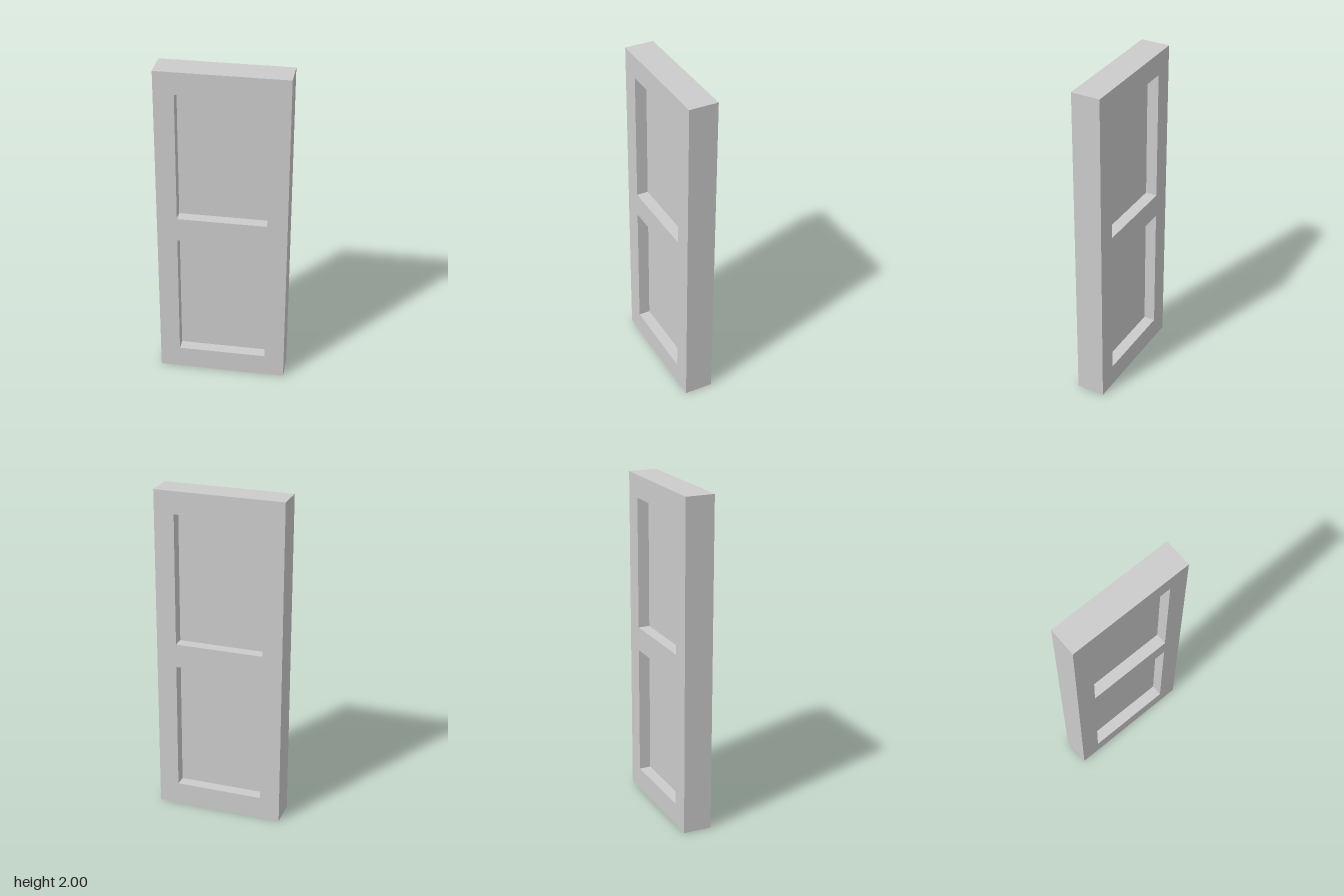
import * as THREE from 'three';

const WIDTH = 0.769, HEIGHT = 2, DEPTH = 0.173;
const HALF_OPENING = 0.265; // half width of each opening
const RECESS = 0.07; // depth of the panels below each face
const OPENINGS = [[0.137, 0.928], [1.073, 1.866]]; // bottom and top of each opening

function rectangle(path, x, y0, y1) {
  path.moveTo(-x, y0);
  path.lineTo(x, y0);
  path.lineTo(x, y1);
  path.lineTo(-x, y1);
  path.closePath();
  return path;
}

export function createModel() {
  const door = new THREE.Group();
  door.name = 'door';
  const material = new THREE.MeshStandardMaterial({ color: 0xcccccc, flatShading: true });

  // Frame: stiles and rails in one piece, with two openings
  const outline = rectangle(new THREE.Shape(), WIDTH / 2, 0, HEIGHT);
  for (const [y0, y1] of OPENINGS) outline.holes.push(rectangle(new THREE.Path(), HALF_OPENING, y0, y1));
  const frameGeometry = new THREE.ExtrudeGeometry(outline, { depth: DEPTH, bevelEnabled: false });
  frameGeometry.translate(0, 0, -DEPTH / 2);
  const frame = new THREE.Mesh(frameGeometry, material);
  frame.name = 'frame';
  door.add(frame);

  // Panels: thin boards recessed from both faces
  OPENINGS.forEach(([y0, y1], i) => {
    const panel = new THREE.Mesh(
      new THREE.BoxGeometry(HALF_OPENING * 2, y1 - y0, DEPTH - 2 * RECESS), material);
    panel.position.y = (y0 + y1) / 2;
    panel.name = i ? 'upperPanel' : 'lowerPanel';
    door.add(panel);
  });

  // The door stands slightly ajar
  door.rotation.y = 0.0535;
  const model = new THREE.Group();
  model.name = 'panelDoor';
  model.add(door);
  return model;
}
